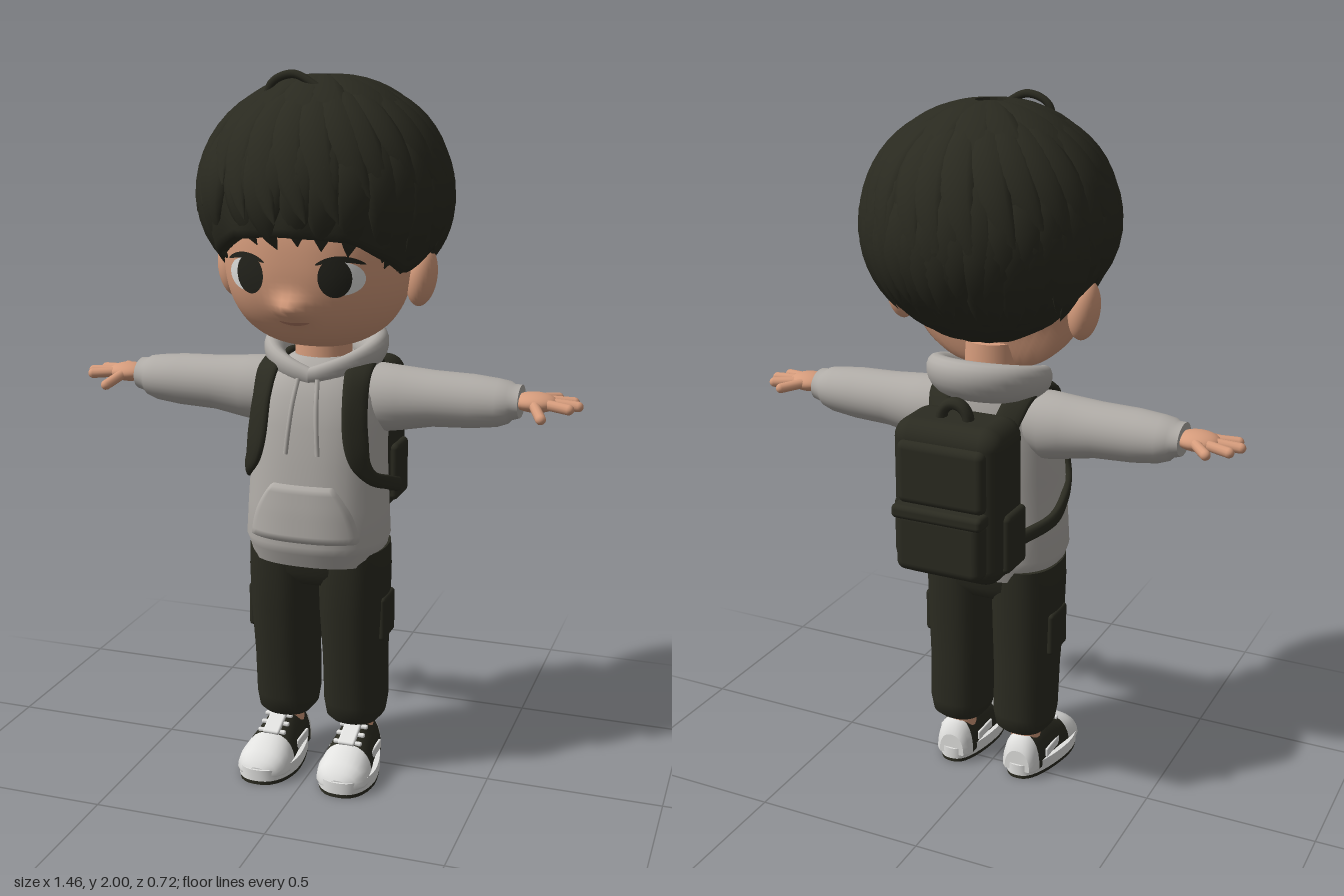
import * as THREE from 'three';
import { mergeVertices } from 'three/addons/utils/BufferGeometryUtils.js';
import { RoundedBoxGeometry } from 'three/addons/geometries/RoundedBoxGeometry.js';

const V = (x, y, z) => new THREE.Vector3(x, y, z);
const lerp = THREE.MathUtils.lerp;
const X = V(1, 0, 0), Y = V(0, 1, 0), Z = V(0, 0, 1);

const material = (name, color) => new THREE.MeshStandardMaterial({ name, color, side: THREE.DoubleSide });

// piecewise linear lookup in rows [key, ...values]
function lookup(rows, k) {
  let i = 0;
  while (i < rows.length - 2 && k > rows[i + 1][0]) i++;
  const t = THREE.MathUtils.clamp((k - rows[i][0]) / (rows[i + 1][0] - rows[i][0]), 0, 1);
  return rows[i].map((v, j) => lerp(v, rows[i + 1][j], t));
}

// superellipse ring; travel direction is u x v
function ring(c, u, v, ru, rv, n = 32, p = 2) {
  return Array.from({ length: n }, (_, i) => {
    const a = (i / n) * Math.PI * 2, co = Math.cos(a), si = Math.sin(a);
    const r = Math.pow(Math.abs(co) ** p + Math.abs(si) ** p, -1 / p);
    return c.clone().addScaledVector(u, ru * r * co).addScaledVector(v, rv * r * si);
  });
}

// skin a surface over rings, with flat end caps
function loft(rings, caps = true) {
  const n = rings[0].length, pos = [], idx = [];
  rings.flat().forEach(p => pos.push(p.x, p.y, p.z));
  for (let i = 0; i < rings.length - 1; i++) for (let j = 0; j < n; j++) {
    const a = i * n + j, b = i * n + (j + 1) % n;
    idx.push(a, b, b + n, a, b + n, a + n);
  }
  if (caps) [rings[0], rings.at(-1)].forEach((r, end) => {
    const base = pos.length / 3, c = V(0, 0, 0);
    r.forEach(p => { pos.push(p.x, p.y, p.z); c.addScaledVector(p, 1 / n); });
    pos.push(c.x, c.y, c.z);
    for (let j = 0; j < n; j++) {
      const k = (j + 1) % n;
      idx.push(base + n, base + (end ? j : k), base + (end ? k : j));
    }
  });
  const g = new THREE.BufferGeometry();
  g.setAttribute('position', new THREE.Float32BufferAttribute(pos, 3));
  g.setIndex(idx);
  g.computeVertexNormals();
  return g;
}

function mirrored(g) {
  const m = g.clone().scale(-1, 1, 1);
  if (!m.index) m.setIndex([...Array(m.attributes.position.count).keys()]);
  const a = m.index.array;
  for (let i = 0; i < a.length; i += 3) [a[i], a[i + 2]] = [a[i + 2], a[i]];
  return m;
}

function reshape(g, fn) {
  const p = g.attributes.position, v = V(0, 0, 0);
  for (let i = 0; i < p.count; i++) { v.fromBufferAttribute(p, i); fn(v); p.setXYZ(i, v.x, v.y, v.z); }
  g.computeVertexNormals();
  return g;
}

// torso rows: y, half width, front z, back z
const TORSO = [[0.655, 0.188, 0.185, -0.11], [0.695, 0.194, 0.2, -0.12], [0.72, 0.202, 0.21, -0.125], [0.82, 0.197, 0.203, -0.12],
  [0.95, 0.19, 0.188, -0.115], [1.05, 0.19, 0.175, -0.115], [1.13, 0.18, 0.155, -0.11], [1.19, 0.145, 0.125, -0.11], [1.23, 0.08, 0.08, -0.09]];
function torsoZ(x, y) {
  const [, rx, f, b] = lookup(TORSO, y);
  return (f + b) / 2 + (f - b) / 2 * Math.pow(Math.max(0, 1 - Math.abs(x / rx) ** 2.5), 0.4);
}
const column = (rows, cx, p) => loft(rows.map(([y, rx, f, b]) => ring(V(cx, y, (f + b) / 2), Z, X, (f - b) / 2, rx, 40, p)));

// head: rounded superellipsoid with a small nose
const HEAD = { c: V(0, 1.525, 0.015), r: V(0.257, 0.268, 0.26), p: 2.4 };
const nose = (x, y) => 0.05 * Math.exp(-((x / 0.04) ** 2) - ((y - 1.392) / 0.032) ** 2);
function faceZ(x, y) {
  const k = 1 - Math.abs(x / HEAD.r.x) ** HEAD.p - Math.abs((y - HEAD.c.y) / HEAD.r.y) ** HEAD.p;
  return HEAD.c.z + HEAD.r.z * Math.pow(Math.max(0, k), 1 / HEAD.p) + nose(x, y);
}
const HC = V(0.006, 1.66, 0), HR = V(0.335, 0.32, 0.345);
function headGeometry() {
  let g = new THREE.SphereGeometry(1, 72, 56);
  g.deleteAttribute('uv'); g.deleteAttribute('normal');
  g = mergeVertices(g, 1e-4);
  return reshape(g, v => {
    const s = Math.pow(['x', 'y', 'z'].reduce((t, k) => t + Math.abs(v[k]) ** HEAD.p, 0), -1 / HEAD.p);
    v.multiplyScalar(s).multiply(HEAD.r).add(HEAD.c);
    if (v.z > 0.1) v.z += nose(v.x, v.y);
    // tuck the back of the skull under the hair
    const d = v.clone().sub(HC), n = d.clone().divide(HR).length();
    if (n > 0.9) v.lerp(HC.clone().addScaledVector(d, 0.9 / n), THREE.MathUtils.smoothstep(-v.z, 0, 0.08));
  });
}
// thin oval lying on the face
const facePatch = (cx, cy, rx, ry, off, bend = 0) => reshape(new THREE.RingGeometry(0, 1, 36, 5), v => {
  const x = cx + v.x * rx, y = cy + v.y * ry - bend * v.x * v.x;
  v.set(x, y, faceZ(x, y) + off);
});

// hair: azimuth a is 0 at the front, th is 0 at the top
const HAIRLINE = [[0, 1.79], [0.5, 1.83], [0.85, 2.0], [1.15, 2.17], [1.4, 2.1], [1.55, 1.98], [1.75, 2.08], [1.9, 2.45], [2.2, 2.73], [3.15, 2.9]];
const hairEnd = a => lookup(HAIRLINE, Math.abs(Math.atan2(Math.sin(a), Math.cos(a))))[1];
const hairPoint = (a, th, r = 1) =>
  V(Math.sin(th) * Math.sin(a), Math.cos(th), Math.sin(th) * Math.cos(a)).multiply(HR).multiplyScalar(r).add(HC);
function hairCap() {
  const rows = [], n = 90;
  for (let k = -1; k <= 26; k++) rows.push(Array.from({ length: n }, (_, i) => {
    const a = (i / n) * Math.PI * 2, th = lerp(hairEnd(a), 0.02, Math.max(k, 0) / 26);
    const p = hairPoint(a, th, 1 + 0.01 * Math.sin(15 * a + 4 * th) * Math.sin(th));
    if (k < 0) { p.x *= 0.8; p.z *= 0.8; }
    return p;
  }));
  return loft(rows);
}
function lock(a0, t0, a1, t1, w, h, lift) {
  const at = s => hairPoint(lerp(a0, a1, s * s), lerp(t0, t1, s), 1.005 + lift * s ** 3);
  return loft(Array.from({ length: 11 }, (_, i) => {
    const s = i / 10, c = at(s), t = at(s + 0.01).sub(at(s - 0.01)).normalize();
    const n = c.clone().sub(HC).normalize(), side = t.clone().cross(n).normalize();
    const f = Math.max(0.02, Math.pow(Math.sin(Math.PI * Math.min(0.999, 0.14 + 0.86 * s)), 0.8));
    return ring(c, side.clone().cross(t), side, h * f, w * f, 10);
  }));
}

export function createModel() {
  const model = new THREE.Group();
  model.name = 'studentFigure';
  const skin = material('skin', 0xd69c7c), grey = material('hoodieGrey', 0xb0aca7), dark = material('darkCloth', 0x2b2b21);
  const hairMat = material('hair', 0x2a2a20), white = material('shoeWhite', 0xe2e2e0), eyeMat = material('eyeDark', 0x24241d), lip = material('lip', 0xb98068);
  const add = (name, geo, mat) => { const m = new THREE.Mesh(geo, mat); m.name = name; model.add(m); return m; };
  const pair = (name, geo, mat) => { add(name + 'Left', geo, mat); add(name + 'Right', mirrored(geo), mat); };
  const box = (w, h, d, r, x, y, z) => new RoundedBoxGeometry(w, h, d, 4, r).translate(x, y, z);
  const tube = (pts, r, n = 24) => new THREE.TubeGeometry(new THREE.CatmullRomCurve3(pts), n, r, 8);
  const ball = (x, y, z, rx, ry, rz) => new THREE.SphereGeometry(1, 28, 20).scale(rx, ry, rz).translate(x, y, z);

  // head and face
  add('head', headGeometry(), skin);
  add('neck', new THREE.CylinderGeometry(0.075, 0.085, 0.2, 28).translate(0, 1.24, 0), skin);
  pair('ear', ball(0, 0, 0, 0.042, 0.084, 0.05).rotateZ(-0.12).translate(0.275, 1.455, -0.015), skin);
  pair('eyeWhite', facePatch(0.132, 1.478, 0.056, 0.044, 0.003), white);
  pair('iris', facePatch(0.117, 1.48, 0.042, 0.052, 0.006), eyeMat);
  pair('eyelash', facePatch(0.13, 1.53, 0.06, 0.008, 0.008, 0.015), eyeMat);
  add('mouth', facePatch(0, 1.35, 0.042, 0.005, 0.003, -0.006), lip);

  // hair cap with layered locks
  let seed = 7;
  const rnd = () => (seed = (seed * 16807) % 2147483647) / 2147483647;
  add('hairCap', hairCap(), hairMat);
  const layer = (name, n, from, span, make) => {
    for (let i = 0; i < n; i++) add(name, lock(...make(from + (i + rnd() * 0.4) / n * span)), hairMat);
  };
  const turn = Math.PI * 2;
  layer('fringeLock', 32, 0, turn, a => [a - 0.1, 0.95, a + 0.1 - rnd() * 0.3, Math.min(2.6, hairEnd(a) + 0.03 + rnd() * 0.1), 0.05, 0.018, -0.05]);
  layer('sideLock', 26, 0, turn, a => [a - 0.15, 0.5, a + 0.1, 1.4 + rnd() * 0.3, 0.05, 0.017, 0.04]);
  layer('crownLock', 13, 0, turn, a => [a - 0.3, 0.12, a + 0.15, 0.95 + rnd() * 0.25, 0.055, 0.013, 0.015]);
  layer('backLock', 18, 1.9, 2.5, a => [a, 1.3, a + 0.08, 1.95 + rnd() * 0.4, 0.045, 0.016, 0.03]);
  add('hairCurl', tube([V(-0.12, 1.9, 0.13), V(-0.1, 1.965, 0.13), V(-0.04, 1.988, 0.13), V(0.04, 1.95, 0.14)], 0.011), hairMat);

  // hoodie body, sleeves and hood
  add('hoodieBody', column(TORSO, 0, 2.5), grey);
  const SLEEVE = [[0.1, 1.125, 0.08, 0.08], [0.17, 1.113, 0.097, 0.092], [0.23, 1.115, 0.09, 0.086], [0.32, 1.12, 0.078, 0.08], [0.43, 1.121, 0.074, 0.078],
    [0.5, 1.122, 0.066, 0.073], [0.53, 1.125, 0.058, 0.066], [0.54, 1.127, 0.049, 0.06], [0.562, 1.13, 0.045, 0.058]];
  pair('sleeve', loft(SLEEVE.map(([x, y, ry, rz]) => ring(V(x, y, 0), Y, Z, ry, rz))), grey);
  add('hood', loft(Array.from({ length: 49 }, (_, i) => {
    const a = (i / 48) * turn, s = (1 - Math.cos(a)) / 2, out = V(Math.sin(a), 0, Math.cos(a));
    const c = V(0.138 * out.x, 1.18 + 0.075 * Math.sqrt(s), -0.012 + 0.128 * out.z);
    return ring(c, V(0, 1, 0).addScaledVector(out, 0.25), out, lerp(0.03, 0.06, Math.sqrt(s)), lerp(0.024, 0.048, s), 18);
  }), false), grey);
  add('frontPocket', reshape(new THREE.PlaneGeometry(2, 1, 24, 12), v => {
    const edge = Math.abs(v.x) > 0.99 || Math.abs(v.y) > 0.49, t = v.y + 0.5;
    v.x *= lerp(0.165, 0.085, t * t); v.y = lerp(0.725, 0.9, t);
    v.z = torsoZ(v.x, v.y) + (edge ? -0.01 : 0.011);
  }), grey);
  pair('drawstring', tube([1.18, 1.12, 1.05, 0.98].map((y, i) => V(0.028 + i * 0.006, y, torsoZ(0.04, y) + 0.01)), 0.007), grey);

  // hands: palm and five spread fingers
  pair('palm', ball(0.6, 1.132, 0.003, 0.062, 0.027, 0.052), skin);
  [[0.66, -0.085], [0.71, -0.042], [0.728, 0.004], [0.71, 0.046], [0.645, 0.095]].forEach(([x, z], i) => {
    const a = V(0.6, 1.135, z * 0.35), b = V(x - 0.012, i === 4 ? 1.108 : 1.128, z), d = b.clone().sub(a);
    const g = new THREE.CapsuleGeometry(0.0145, d.length(), 6, 12);
    g.applyQuaternion(new THREE.Quaternion().setFromUnitVectors(Y, d.clone().normalize()));
    pair('finger' + (i + 1), g.translate(...a.add(b).multiplyScalar(0.5).toArray()), skin);
  });

  // trousers
  add('hips', column([[0.58, 0.15, 0.12, -0.07], [0.62, 0.19, 0.15, -0.1], [0.69, 0.185, 0.155, -0.105]], 0, 2.6), dark);
  pair('trouserLeg', column([[0.15, 0.068, 0.085, -0.065], [0.168, 0.083, 0.105, -0.085], [0.21, 0.09, 0.112, -0.092], [0.35, 0.09, 0.128, -0.092],
    [0.5, 0.096, 0.148, -0.096], [0.62, 0.098, 0.155, -0.1], [0.69, 0.095, 0.155, -0.1]], 0.104, 2.4), dark);
  pair('thighPocket', box(0.025, 0.13, 0.11, 0.011, 0.194, 0.48, 0.02), dark);

  // shoes: rows are z, half width, top y
  pair('ankle', new THREE.CylinderGeometry(0.045, 0.045, 0.08, 20).translate(0.108, 0.14, 0.005), skin);
  const SHOE = [[-0.064, 0.04, 0.09], [-0.052, 0.052, 0.125], [-0.03, 0.058, 0.138], [0, 0.06, 0.14], [0.05, 0.063, 0.147], [0.09, 0.067, 0.137],
    [0.14, 0.075, 0.115], [0.18, 0.078, 0.102], [0.21, 0.072, 0.088], [0.232, 0.055, 0.07], [0.243, 0.028, 0.05]];
  const upper = (i, j) => loft(SHOE.slice(i, j).map(([z, rx, top]) =>
    ring(V(0.112 + z * 0.04, 0.03, z), X, Y, rx, top - 0.03, 28, 2.3).map(p => p.setY(Math.max(p.y, 0.025)))));
  pair('shoeHeel', upper(0, 3), white);
  pair('shoeUpper', upper(2, 7), dark);
  pair('shoeToe', upper(6, 11), white);
  const sole = (y0, y1, k) => reshape(loft([y0, y1].map(y => ring(V(0, y, 0.09), Z, X, 0.16 * k, 0.086 * k, 40, 2.5))), v => {
    v.x = 0.113 + v.z * 0.04 + v.x * lerp(0.76, 1, THREE.MathUtils.smoothstep(v.z, -0.06, 0.16));
  });
  pair('midsole', sole(0.012, 0.046, 1), white);
  pair('outsole', sole(0, 0.012, 0.98), dark);
  pair('shoeTongue', box(0.05, 0.014, 0.1, 0.006, 0, 0, 0).rotateX(0.42).translate(0.115, 0.135, 0.1), white);
  [0.07, 0.1, 0.13].forEach((z, i) => pair('lace' + (i + 1), box(0.085, 0.012, 0.014, 0.005, 0.116, 0.141 - i * 0.013, z), white));
  pair('shoeSidePanel', box(0.009, 0.028, 0.09, 0.004, 0.176, 0.064, 0.05), white);
  pair('shoeInnerPanel', box(0.009, 0.028, 0.09, 0.004, 0.051, 0.064, 0.05), white);

  // backpack
  add('backpackBody', box(0.32, 0.45, 0.2, 0.055, 0, 0.955, -0.22), dark);
  add('backpackUpperPanel', box(0.26, 0.18, 0.05, 0.022, 0, 1.04, -0.312), dark);
  add('backpackPocket', box(0.26, 0.18, 0.08, 0.028, 0, 0.85, -0.315), dark);
  add('backpackPocketFlap', box(0.27, 0.04, 0.09, 0.014, 0, 0.935, -0.317), dark);
  pair('backpackSidePocket', box(0.04, 0.17, 0.12, 0.016, 0.156, 0.85, -0.21), dark);
  add('backpackHandle', new THREE.TorusGeometry(0.04, 0.015, 10, 24, Math.PI).scale(1, 1.15, 1.3).translate(0, 1.175, -0.235), dark);

  // shoulder straps
  const on = (x, y) => V(x, y, torsoZ(x, y) + 0.011);
  const path = new THREE.CatmullRomCurve3([V(0.1, 1.14, -0.135), V(0.118, 1.205, -0.08), V(0.124, 1.222, 0), V(0.13, 1.195, 0.095), on(0.135, 1.12), on(0.142, 1.03),
    on(0.155, 0.96), on(0.178, 0.915), V(0.203, 0.88, 0.04), V(0.205, 0.85, -0.05), V(0.14, 0.815, -0.15)]);
  pair('shoulderStrap', loft(Array.from({ length: 61 }, (_, i) => {
    const s = i / 60, c = path.getPoint(s), t = path.getTangent(s);
    const n = V(c.x - 0.04, Math.max(0, c.y - 1.12) * 3, c.z + 0.01).normalize();
    const side = t.clone().cross(n).normalize();
    return ring(c, side.clone().cross(t), side, 0.012, lerp(0.036, 0.02, THREE.MathUtils.smoothstep(s, 0.5, 0.72)), 16, 3);
  })), dark);

  return model;
}
